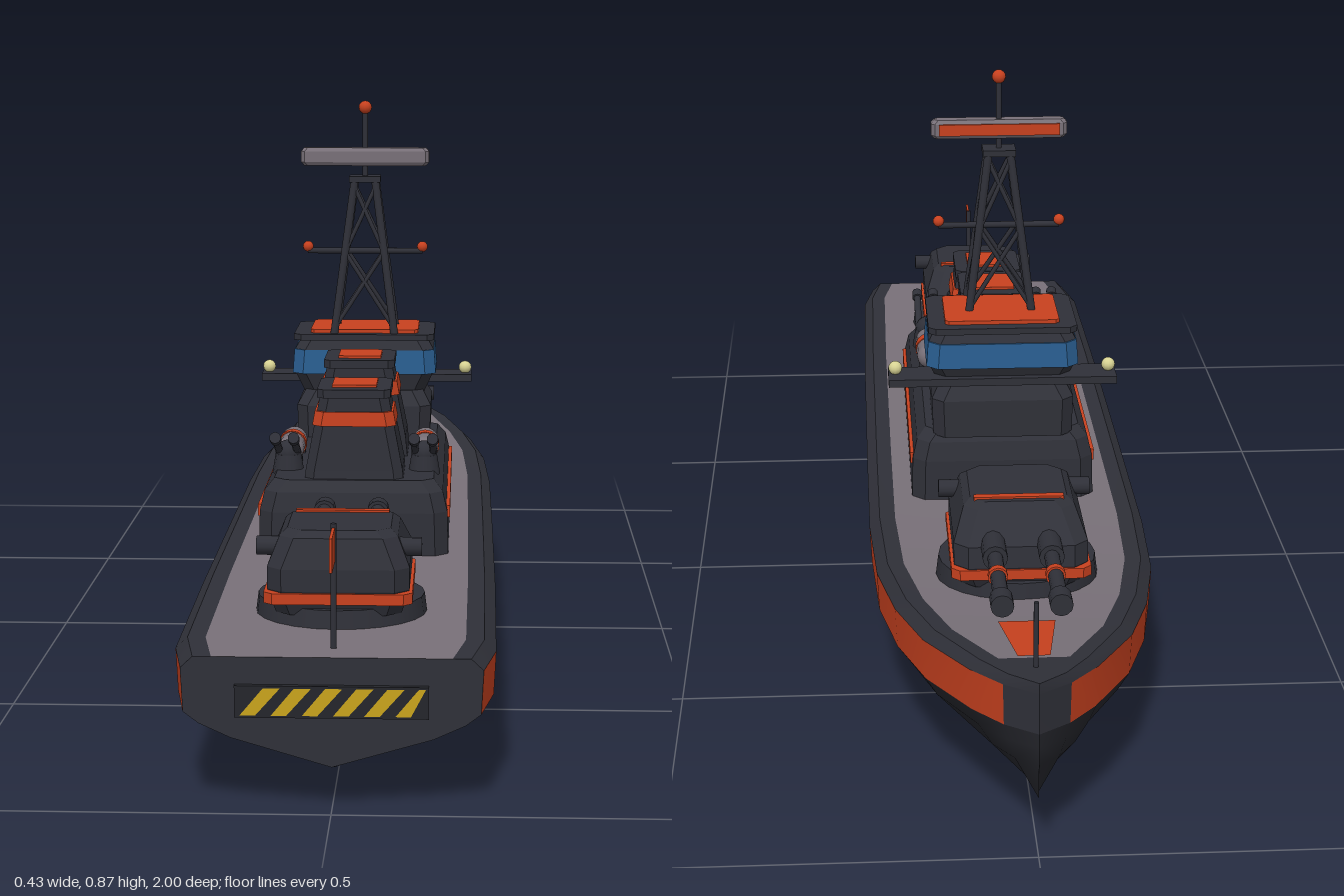
import * as THREE from 'three';

const mat = (name, color, extra = {}) => Object.assign(new THREE.MeshStandardMaterial({ color, ...extra }), { name });

export function createModel() {
  const dark = mat('charcoal', 0x2f3038);
  const hullDark = mat('hull black', 0x25262c);
  const red = mat('signal red', 0xc8411f);
  const grey = mat('deck grey', 0x787078);
  const blue = mat('bridge blue', 0x2a5f92);
  const yellow = mat('hazard yellow', 0xc9a41c);
  const cream = mat('lamp cream', 0xd9d494);
  const flagRed = mat('flag red', 0xc8411f, { side: THREE.DoubleSide });
  const ship = new THREE.Group();
  ship.name = 'warship';

  const add = (name, geo, m, x = 0, y = 0, z = 0, parent = ship) => {
    const mesh = new THREE.Mesh(geo, m);
    mesh.name = name;
    mesh.position.set(x, y, z);
    parent.add(mesh);
    return mesh;
  };
  const box = (name, w, h, d, m, x, y, z, parent) => add(name, new THREE.BoxGeometry(w, h, d), m, x, y, z, parent);
  const ball = (name, r, m, x, y, z, parent) => add(name, new THREE.SphereGeometry(r, 12, 8), m, x, y, z, parent);
  const rod = (name, a, b, r, m, parent, sides = 10) => {
    const p = new THREE.Vector3(...a), q = new THREE.Vector3(...b), d = q.clone().sub(p);
    const mesh = add(name, new THREE.CylinderGeometry(r, r, d.length(), sides), m, 0, 0, 0, parent);
    mesh.position.copy(p).add(q).multiplyScalar(0.5);
    mesh.quaternion.setFromUnitVectors(new THREE.Vector3(0, 1, 0), d.normalize());
    return mesh;
  };
  const geometry = (pos, idx) => {
    const g = new THREE.BufferGeometry();
    g.setAttribute('position', new THREE.Float32BufferAttribute(pos, 3));
    g.setIndex(idx);
    return g;
  };
  // Surface through rows of points
  const loft = (rows, flip) => {
    const n = rows[0].length, idx = [];
    for (let i = 0; i < rows.length - 1; i++) for (let j = 0; j < n - 1; j++) {
      const a = i * n + j, b = a + 1, c = a + n, d = c + 1;
      idx.push(...(flip ? [a, c, b, b, c, d] : [a, b, c, b, d, c]));
    }
    const g = geometry(rows.flat(2), idx);
    g.computeVertexNormals();
    return g;
  };
  // Solid with chamfered corners; levels are [y, half width, min z, max z]
  const tier = (name, levels, c, m, parent) => {
    const pos = [], idx = [], top = (levels.length - 1) * 8;
    for (const [y, w, z0, z1] of levels)
      for (const [x, z] of [[w, z1 - c], [w, z0 + c], [w - c, z0], [c - w, z0], [-w, z0 + c], [-w, z1 - c], [c - w, z1], [w - c, z1]])
        pos.push(x, y, z);
    for (let k = 0; k < top; k += 8) for (let j = 0; j < 8; j++) {
      const a = k + j, b = k + (j + 1) % 8;
      idx.push(a, b, a + 8, b, b + 8, a + 8);
    }
    for (let j = 1; j < 7; j++) idx.push(top, top + j, top + j + 1, 0, j + 1, j);
    const g = geometry(pos, idx).toNonIndexed();
    g.computeVertexNormals();
    return add(name, g, m, 0, 0, 0, parent);
  };

  // Hull stations from stern to bow: z, half beam, deck height, keel height
  const stations = [
    [0.98, 0.187, 0.205, 0.06], [0.88, 0.204, 0.205, 0.03], [0.5, 0.207, 0.205, 0.012], [0, 0.207, 0.205, 0.003],
    [-0.3, 0.206, 0.207, 0.006], [-0.5, 0.197, 0.215, 0.018], [-0.65, 0.173, 0.224, 0.03], [-0.78, 0.137, 0.235, 0.043],
    [-0.9, 0.08, 0.246, 0.06], [-0.96, 0.042, 0.252, 0.074], [-1, 0, 0.256, 0.09]];
  const section = ([z, w, t, k], s) => {
    const f = Math.min(1, w / 0.1), b = t - 0.073, h = b - k;
    return [[Math.max(0, w - 0.032), t], [Math.max(0, w - 0.008 * f), t], [w + 0.008 * f, t - 0.015], [w + 0.005 * f, b],
      [w * 0.92, k + h * 0.79], [w * 0.7, k + h * 0.53], [0, k]].map(([x, y]) => [x * s, y, z]);
  };
  for (const s of [1, -1]) {
    const rows = stations.map(st => section(st, s));
    const cut = (a, b, r = rows) => loft(r.map(p => p.slice(a, b + 1)), s < 0);
    add('deckBorder', cut(0, 1), dark);
    add('gunwale', cut(1, 2), dark);
    add('sideBelt', cut(2, 3, rows.slice(0, 10)), red);
    add('bowCheek', cut(2, 3, rows.slice(9)), dark);
    add('lowerHull', cut(3, 6), hullDark);
  }
  const deckRow = st => { const p = section(st, 1)[0]; return [[-p[0], p[1], p[2]], p]; };
  add('deck', loft(stations.slice(0, 9).map(deckRow)), grey);
  add('bowDeck', loft(stations.slice(8).map(deckRow)), dark);
  add('bowMarking', loft([[[-0.04, 0.236, -0.76], [0.04, 0.236, -0.76]], [[-0.022, 0.249, -0.9], [0.022, 0.249, -0.9]]]), red);
  const half = section(stations[0], 1).slice(1);
  const outline = [...half, ...half.slice(0, -1).reverse().map(([x, y]) => [-x, y])];
  add('transom', new THREE.ShapeGeometry(new THREE.Shape(outline.map(([x, y]) => new THREE.Vector2(x, y)))), dark, 0, 0, 0.98);

  // Hazard plate on the transom
  box('hazardPlate', 0.25, 0.042, 0.008, hullDark, 0, 0.148, 0.984);
  for (let i = 0; i < 6; i++) {
    const x = -0.118 + i * 0.04;
    const s = new THREE.Shape([[x, 0.13], [x + 0.02, 0.13], [Math.min(x + 0.052, 0.121), 0.166], [x + 0.03, 0.166]].map(p => new THREE.Vector2(...p)));
    add('hazardStripe', new THREE.ShapeGeometry(s), yellow, 0, 0, 0.9885);
  }

  // Twin-gun turrets, both facing the bow
  for (const [name, y, z] of [['sternTurret', 0.2, 0.715], ['bowTurret', 0.218, -0.545]]) {
    const t = new THREE.Group();
    t.name = name;
    t.position.set(0, y, z);
    ship.add(t);
    add('barbette', new THREE.CylinderGeometry(0.115, 0.12, 0.04, 24), dark, 0, 0.01, 0, t);
    tier('turretBand', [[0.038, 0.1, -0.118, 0.117], [0.053, 0.1, -0.118, 0.117]], 0.012, red, t);
    tier('turretBody', [[0.02, 0.085, -0.1, 0.1], [0.055, 0.096, -0.115, 0.113], [0.085, 0.096, -0.11, 0.113],
      [0.125, 0.08, -0.068, 0.1], [0.134, 0.07, -0.058, 0.088]], 0.02, dark, t);
    box('roofStripe', 0.13, 0.006, 0.013, red, 0, 0.134, -0.042, t);
    rod('rangefinder', [-0.112, 0.108, 0.065], [0.112, 0.108, 0.065], 0.013, dark, t);
    for (const x of [-0.04, 0.04]) {
      rod('barrelSleeve', [x, 0.085, -0.08], [x, 0.085, -0.15], 0.018, dark, t, 12);
      rod('barrel', [x, 0.085, -0.1], [x, 0.085, -0.3], 0.011, dark, t, 12);
      rod('barrelRing', [x, 0.085, -0.205], [x, 0.085, -0.217], 0.014, red, t, 12);
      rod('muzzle', [x, 0.085, -0.285], [x, 0.085, -0.315], 0.016, dark, t, 12);
    }
  }

  // Superstructure
  tier('deckhouse', [[0.195, 0.145, -0.225, 0.372], [0.27, 0.143, -0.222, 0.37], [0.3, 0.136, -0.216, 0.364], [0.317, 0.122, -0.205, 0.35]], 0.02, dark);
  for (const s of [1, -1]) box('deckhouseStripe', 0.008, 0.018, 0.53, red, s * 0.143, 0.267, 0.07);
  tier('bridgeBase', [[0.31, 0.11, -0.222, -0.035], [0.37, 0.112, -0.222, -0.035], [0.395, 0.098, -0.207, -0.05]], 0.018, dark);
  tier('bridgeSill', [[0.39, 0.1, -0.2, -0.055], [0.423, 0.115, -0.214, -0.047]], 0.018, dark);
  tier('bridgeWindows', [[0.423, 0.12, -0.219, -0.043], [0.463, 0.117, -0.218, -0.044]], 0.018, blue);
  tier('bridgeTop', [[0.463, 0.116, -0.215, -0.046], [0.482, 0.105, -0.205, -0.055]], 0.018, dark);
  tier('bridgeRoof', [[0.48, 0.117, -0.222, -0.04], [0.49, 0.117, -0.222, -0.04]], 0.012, dark);
  tier('roofPanel', [[0.489, 0.09, -0.2, -0.06], [0.496, 0.09, -0.2, -0.06]], 0.006, red);
  box('bridgeWing', 0.36, 0.012, 0.065, dark, 0, 0.401, -0.188);
  for (const s of [1, -1]) ball('signalLamp', 0.011, cream, s * 0.169, 0.416, -0.185);

  // Funnels
  for (const [z, y] of [[0.275, 0], [0.08, 0.018]]) {
    const f = new THREE.Group();
    f.name = 'funnel';
    f.position.set(0, y, z);
    ship.add(f);
    tier('funnelBody', [[0.29, 0.078, -0.095, 0.07], [0.33, 0.074, -0.085, 0.066], [0.445, 0.052, -0.05, 0.06]], 0.014, dark, f);
    tier('funnelBand', [[0.398, 0.064, -0.068, 0.066], [0.42, 0.06, -0.062, 0.065]], 0.014, red, f);
    tier('funnelCap', [[0.442, 0.056, -0.062, 0.07], [0.455, 0.056, -0.062, 0.07]], 0.01, dark, f);
    box('funnelMouth', 0.068, 0.006, 0.08, red, 0, 0.456, 0.004, f);
  }

  // Lifeboats and light guns on both sides
  for (const s of [1, -1]) {
    const x = s * 0.106;
    const boat = add('lifeboat', new THREE.CapsuleGeometry(0.021, 0.085, 6, 14), grey, x, 0.338, 0.15);
    boat.rotation.x = Math.PI / 2;
    rod('lifeboatBand', [x, 0.338, 0.139], [x, 0.338, 0.161], 0.0225, red, ship, 14);
    for (const z of [0.11, 0.19]) box('lifeboatCradle', 0.036, 0.02, 0.012, dark, x, 0.318, z);
    add('lightGunMount', new THREE.CylinderGeometry(0.02, 0.025, 0.03, 12), dark, x, 0.325, 0.25);
    ball('lightGunHub', 0.02, dark, x, 0.342, 0.25);
    for (const dx of [-0.014, 0.014]) {
      rod('lightGunBarrel', [x + dx, 0.342, 0.245], [x + dx, 0.378, 0.335], 0.006, dark);
      rod('lightGunMuzzle', [x + dx, 0.374, 0.325], [x + dx, 0.38, 0.34], 0.009, dark);
    }
  }

  // Lattice mast
  const mast = new THREE.Group();
  mast.name = 'mast';
  mast.position.z = -0.1;
  ship.add(mast);
  const corner = (i, y) => {
    const r = 0.05 - 0.033 * (y - 0.49) / 0.255;
    return [(i % 4 === 0 || i % 4 === 3 ? 1 : -1) * r, y, (i % 4 < 2 ? 0.85 : -0.85) * r];
  };
  for (let i = 0; i < 4; i++) {
    rod('mastLeg', corner(i, 0.485), corner(i, 0.745), 0.0065, dark, mast, 8);
    for (const [a, b] of [[0.5, 0.625], [0.625, 0.735]]) {
      rod('mastBrace', corner(i, a), corner(i + 1, b), 0.004, dark, mast, 6);
      rod('mastBrace', corner(i + 1, a), corner(i, b), 0.004, dark, mast, 6);
    }
  }
  box('mastPlatform', 0.052, 0.01, 0.046, dark, 0, 0.746, 0, mast);
  rod('yard', [-0.096, 0.625, 0], [0.096, 0.625, 0], 0.005, dark, mast);
  for (const s of [1, -1]) ball('yardLight', 0.009, red, s * 0.096, 0.632, 0, mast);
  rod('topPole', [0, 0.74, 0], [0, 0.86, 0], 0.0045, dark, mast);
  ball('topLight', 0.011, red, 0, 0.865, 0, mast);
  tier('radar', [[0.768, 0.102, -0.01, 0.01], [0.774, 0.107, -0.014, 0.014], [0.792, 0.107, -0.014, 0.014], [0.798, 0.102, -0.01, 0.01]], 0.006, grey, mast);
  box('radarFace', 0.19, 0.018, 0.005, red, 0, 0.783, -0.015, mast);

  // Bow staff, stern staff and flag
  rod('bowStaff', [0, 0.245, -0.935], [0, 0.342, -0.935], 0.0035, dark);
  rod('sternStaff', [0, 0.2, 0.93], [0, 0.37, 0.93], 0.004, dark);
  box('flag', 0.004, 0.045, 0.068, flagRed, 0, 0.342, 0.966);
  return ship;
}
